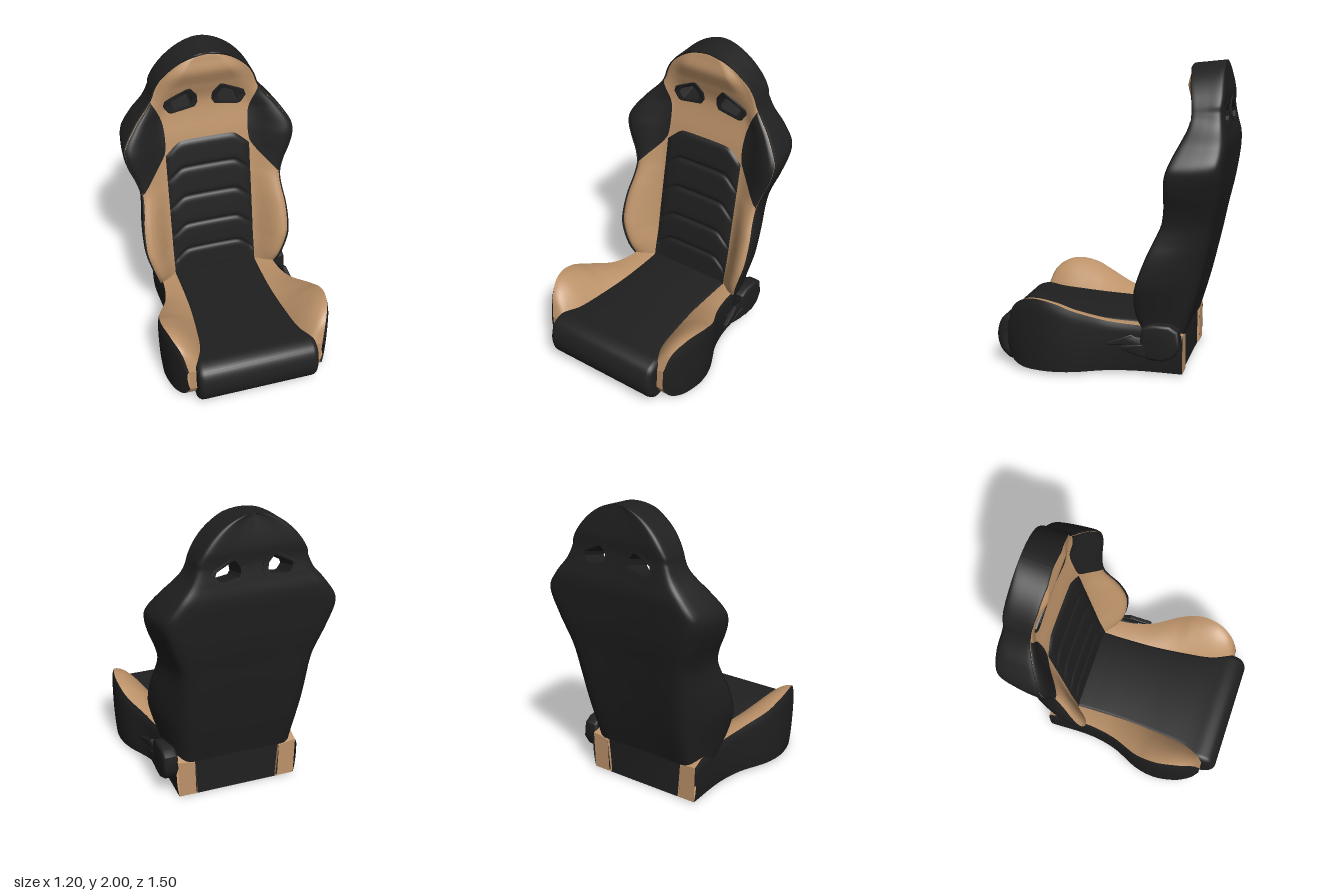
import * as THREE from 'three';
import { toCreasedNormals } from 'three/addons/utils/BufferGeometryUtils.js';

const black = new THREE.MeshStandardMaterial({ color: 0x202020, side: THREE.DoubleSide });
const tan = new THREE.MeshStandardMaterial({ color: 0xbc9269, side: THREE.DoubleSide });

// Smooth lookup through [position, value] pairs, clamped at both ends
function table(...p) {
  const slope = (i) => {
    const a = p[Math.max(i - 1, 0)], b = p[Math.min(i + 1, p.length - 1)];
    return (b[1] - a[1]) / (b[0] - a[0]);
  };
  return (q) => {
    if (q <= p[0][0]) return p[0][1];
    if (q >= p[p.length - 1][0]) return p[p.length - 1][1];
    let i = 0;
    while (q > p[i + 1][0]) i++;
    const h = p[i + 1][0] - p[i][0], t = (q - p[i][0]) / h, t2 = t * t, t3 = t2 * t;
    return p[i][1] * (2 * t3 - 3 * t2 + 1) + p[i + 1][1] * (3 * t2 - 2 * t3)
      + h * (slope(i) * (t3 - 2 * t2 + t) + slope(i + 1) * (t3 - t2));
  };
}

// Grid surface from f(u, v) -> [x, y, z]; cut(x, y, z) drops triangles
function surface(name, material, nu, nv, f, cut) {
  const pos = [], idx = [];
  for (let j = 0; j <= nv; j++) for (let i = 0; i <= nu; i++) pos.push(...f(i / nu, j / nv));
  const mid = (t, k) => (pos[t[0] * 3 + k] + pos[t[1] * 3 + k] + pos[t[2] * 3 + k]) / 3;
  for (let j = 0; j < nv; j++) for (let i = 0; i < nu; i++) {
    const a = j * (nu + 1) + i, c = a + nu + 1;
    for (const t of [[a, a + 1, c], [a + 1, c + 1, c]]) {
      if (!cut || !cut(mid(t, 0), mid(t, 1), mid(t, 2))) idx.push(...t);
    }
  }
  const g = new THREE.BufferGeometry();
  g.setAttribute('position', new THREE.Float32BufferAttribute(pos, 3));
  g.setIndex(idx);
  g.computeVertexNormals();
  const m = new THREE.Mesh(g, material);
  m.name = name;
  return m;
}
const vecs = (pts) => pts.map((p) => new THREE.Vector2(...p));

// Backrest: half widths at front and rear, then depths, all by height
const lowWidth = table([.26, .43], [.4, .47], [.5, .5], [.6, .525], [.7, .53], [.8, .525], [.9, .51], [1, .505], [1.1, .53],
  [1.2, .57], [1.3, .597], [1.38, .592], [1.5, .51], [1.6, .42], [1.65, .385], [1.7, .365]);
const width = (y) => y < 1.7 ? lowWidth(y) : .365 * Math.sqrt(Math.max(0, 1 - ((y - 1.7) / .3) ** 1.3));
const rearWidth = table([.26, .36], [.5, .38], [.8, .4], [1, .43], [1.2, .5], [1.38, .55], [1.5, .48], [1.6, .4], [1.7, .355]);
const centreZ = table([.26, -.335], [.33, -.345], [.6, -.38], [1, -.445], [1.33, -.5], [1.58, -.55], [1.72, -.52], [1.85, -.477], [1.95, -.49], [2, -.5]);
const bolsterZ = table([.26, -.27], [.33, -.235], [.4, -.21], [.5, -.2], [.6, -.21], [.8, -.28], [1, -.37], [1.1, -.39],
  [1.3, -.4], [1.4, -.43], [1.6, -.52], [1.7, -.53], [1.85, -.515], [2, -.5]);
const rearZ = table([.26, -.5], [.5, -.57], [.8, -.64], [1, -.68], [1.2, -.72], [1.4, -.745], [1.5, -.75], [1.6, -.735], [1.7, -.722], [1.8, -.725], [2, -.7]);
const wingInner = table([1, .505], [1.1, .42], [1.2, .335], [1.27, .3], [1.45, .3], [1.55, .33], [1.66, .385]);
const trimEdge = (y) => Math.max(0, Math.min(width(y) - .012, y > 1.66 ? width(y + .016) : 9));
// The crown slopes down towards its front edge
const crownDrop = (y) => .022 * Math.max(0, (y - 1.8) / .2);

function frontZ(x, y) {
  const w = width(y), e = Math.min(.28, .55 * w);
  const t = w > 0 ? Math.min(1, Math.max(0, (Math.abs(x) - e) / (w - e))) : 0;
  const rise = (1 - Math.cos(Math.PI * Math.min(1, t * 1.15))) / 2;
  const c = centreZ(y);
  return c + (bolsterZ(y) - c) * rise - .025 * Math.max(0, (t - .85) / .15) ** 2;
}

// Belt opening outline, its scaled copies and a point test
const SLOT = [[.05, 1.59], [.056, 1.645], [.105, 1.708], [.13, 1.704], [.278, 1.625], [.29, 1.59], [.255, 1.537], [.23, 1.53], [.07, 1.556]];
const TILT = .055;
const slot = (k) => vecs(SLOT.map(([x, y]) => [.165 + (x - .165) * k, 1.61 + (y - 1.61) * k]));
const cutLine = slot(.85);
function inSlot(x, y) {
  let inside = false;
  cutLine.forEach((a, i) => {
    const b = cutLine[(i + 1) % cutLine.length];
    if ((a.y > y) !== (b.y > y) && Math.abs(x) < a.x + (b.x - a.x) * (y - a.y) / (b.y - a.y)) inside = !inside;
  });
  return inside;
}

function backrest() {
  const g = new THREE.Group();
  g.name = 'backrest';
  const rowY = (v) => 2 - 1.74 * (1 - v) ** 1.6;

  // Front upholstery
  g.add(surface('backrestTrim', tan, 64, 140, (u, v) => {
    const y = rowY(v), x = (2 * u - 1) * trimEdge(y);
    return [x, y - crownDrop(y), frontZ(x, y)];
  }, inSlot));

  // Outer shell: piped front rim, flared sides and a narrower rear
  const half = new THREE.SplineCurve(vecs([[.99, -.035], [1, .06], [1, .25], [1, .5], [1, .8], [.975, .94], [.89, .995], [.7, 1], [.35, .98], [0, .97]]))
    .getSpacedPoints(50);
  g.add(surface('backShell', black, 103, 140, (u, v) => {
    const y = rowY(v), i = Math.round(u * 103), k = i <= 51 ? i : 103 - i, side = i <= 51 ? 1 : -1;
    const b = trimEdge(y), z0 = frontZ(b, y), w = width(y);
    if (k === 0) return [side * b, y - crownDrop(y), z0];
    const p = half[k - 1], d = Math.max(0, p.y);
    return [side * p.x * (w + (Math.min(w, rearWidth(y)) - w) * d * d), y - crownDrop(y) * (1 - d), z0 + (rearZ(y) - z0) * p.y];
  }, (x, y, z) => z < -.62 && inSlot(x, y - TILT)));
  g.add(surface('backUnderside', black, 20, 2, (u, v) => {
    const x = (2 * u - 1) * (.42 - .07 * v);
    return [x, .26, frontZ(x, .26) * (1 - v) - .49 * v];
  }));

  // Ribbed centre panel with chevron seams
  const seams = [.28, .49, .69, .91, 1.13, 1.33];
  g.add(surface('ribbedPanel', black, 48, 90, (u, v) => {
    const s = 2 * u - 1, x = s * .3, k = Math.min(4, Math.floor(v * 5)), q = v * 5 - k;
    const drop = Math.abs(x) - .2;
    const y = seams[k] + (seams[k + 1] - seams[k]) * q - (drop + Math.sqrt(drop * drop + .0006)) * .48;
    const puff = .018 * (1 - Math.abs(2 * q - 1) ** 8) * (1 - Math.abs(s) ** 14);
    return [x, y, frontZ(x, y) + .005 + puff];
  }));

  for (const side of [1, -1]) {
    // Shoulder wings
    g.add(surface('shoulderWing', black, 24, 50, (u, v) => {
      const y = 1 + .66 * v, b = trimEdge(y), a = Math.min(wingInner(y), b), x = a + (b - a) * u;
      return [side * x, y, frontZ(x, y) + .006];
    }));
    // Belt opening liner, running through to the rear
    const ring = new THREE.Shape(slot(1));
    ring.holes.push(new THREE.Path(slot(.68)));
    const geo = new THREE.ExtrudeGeometry(ring, { depth: 1, bevelEnabled: false });
    const p = geo.attributes.position;
    for (let i = 0; i < p.count; i++) {
      const x = p.getX(i), y = p.getY(i);
      if (p.getZ(i) > .5) p.setXYZ(i, side * x, y, frontZ(x, y) + .01);
      else p.setXYZ(i, side * x, y + TILT, rearZ(y + TILT) + .001);
    }
    geo.computeVertexNormals();
    const liner = new THREE.Mesh(geo, black);
    liner.name = 'beltOpening';
    g.add(liner);
  }
  return g;
}

// Extrudes a z-y profile across x, centred on x = 0
function slab(name, shape, thickness, bevel) {
  const geo = new THREE.ExtrudeGeometry(shape, { depth: thickness - 2 * bevel, bevelThickness: bevel, bevelSize: bevel,
    bevelOffset: -bevel, bevelSegments: 4, curveSegments: 16 });
  geo.translate(0, 0, bevel - thickness / 2).rotateY(-Math.PI / 2);
  const m = new THREE.Mesh(toCreasedNormals(geo, .7), black);
  m.name = name;
  return m;
}

// Seat bolster: inner edge, outer edge, top and bottom by z
const inner = table([-.5, .33], [-.3, .3], [0, .3], [.3, .33], [.5, .36], [.65, .42]);
const outer = table([-.5, .43], [-.2, .43], [0, .47], [.2, .56], [.35, .585], [.5, .56], [.6, .515], [.65, .48]);
const top = table([-.5, .27], [-.4, .31], [-.15, .33], [0, .355], [.2, .43], [.3, .475], [.43, .5], [.53, .48], [.61, .41], [.65, .29]);
const bottom = table([-.5, .012], [.45, .02], [.55, .03], [.61, .06], [.65, .13]);

function cushion() {
  const g = new THREE.Group();
  g.name = 'cushion';

  // Centre pad with the rounded front roll
  const shape = new THREE.Shape();
  shape.moveTo(-.485, 0).lineTo(-.485, .27);
  shape.splineThru(vecs([[-.38, .31], [-.2, .32], [0, .325], [.2, .33], [.4, .338], [.55, .342], [.65, .34], [.72, .3], [.75, .2], [.73, .1], [.67, .035], [.6, .02]]));
  shape.lineTo(.4, .015).lineTo(.1, .01).lineTo(-.2, .005);
  const pad = slab('centrePad', shape, .84, .04);
  const p = pad.geometry.attributes.position;
  const padWidth = table([-.5, .33], [-.3, .31], [0, .31], [.3, .335], [.5, .365], [.6, .415], [.66, .42]);
  for (let i = 0; i < p.count; i++) p.setX(i, p.getX(i) * padWidth(p.getZ(i)) / .42);
  pad.geometry = toCreasedNormals(pad.geometry, .7);
  g.add(pad);

  const zAt = (v) => -.5 + 1.15 * (1 - (1 - v) ** 1.4);
  const crest = (u, z) => {
    const a = inner(z) - .03, b = outer(z) - .012, t = top(z), base = Math.min(.3, t - .02);
    return [a + (b - a) * u, base + (t - base) * Math.sin(u * Math.PI / 2) ** .85];
  };
  for (const side of [1, -1]) {
    const bolster = new THREE.Group();
    bolster.name = 'seatBolster';
    bolster.add(surface('bolsterTop', tan, 20, 50, (u, v) => {
      const z = zAt(v), [x, y] = crest(u, z);
      return [side * x, y, z];
    }));
    bolster.add(surface('bolsterBottom', tan, 4, 50, (u, v) => {
      const z = zAt(v);
      return [side * (.28 + (outer(z) - .3) * u), bottom(z), z];
    }));
    bolster.add(surface('bolsterInside', tan, 1, 50, (u, v) => {
      const z = zAt(v), [x, y] = crest(0, z);
      return [side * (x + (.28 - x) * u), y + (bottom(z) - y) * u, z];
    }));
    // Dark outer side
    bolster.add(surface('bolsterSide', black, 16, 50, (u, v) => {
      const z = zAt(v), t = top(z), b = bottom(z);
      const x = outer(z) - .012 * (1 - Math.min(1, u * 6)) ** 2 - .02 * u ** 3;
      return [side * x, t + (b - t) * u, z];
    }));
    // End faces
    for (const z of [-.5, .65]) {
      bolster.add(surface('bolsterEnd', tan, 12, 1, (u, v) => {
        const [x, y] = crest(u, z);
        return [side * (x - v * .008), y + (bottom(z) - y) * v, z];
      }));
    }
    g.add(bolster);
  }
  return g;
}

// Recliner cover and levers on the left side
function recliner() {
  const g = new THREE.Group();
  g.name = 'recliner';
  const cover = slab('reclinerCover', new THREE.Shape(vecs([[-.26, .15], [-.24, .25], [-.25, .33], [-.31, .358], [-.43, .355], [-.485, .32],
    [-.5, .22], [-.46, .15], [-.39, .12], [-.3, .125]])), .1, .02);
  cover.position.x = .46;
  const lever = slab('reclinerLever', new THREE.Shape(vecs([[-.02, .21], [-.025, .23], [-.13, .265], [-.18, .285], [-.21, .27], [-.29, .26],
    [-.29, .19], [-.2, .205], [-.12, .215]])), .03, .006);
  lever.position.x = .51;
  lever.rotation.y = .12;
  const link = slab('reclinerLink', new THREE.Shape(vecs([[-.12, .18], [-.12, .21], [-.28, .23], [-.28, .14], [-.22, .15]])), .07, .01);
  link.position.x = .475;
  g.add(cover, lever, link);
  return g;
}

export function createModel() {
  const model = new THREE.Group();
  model.name = 'sportSeat';
  model.add(backrest(), cushion(), recliner());
  return model;
}
